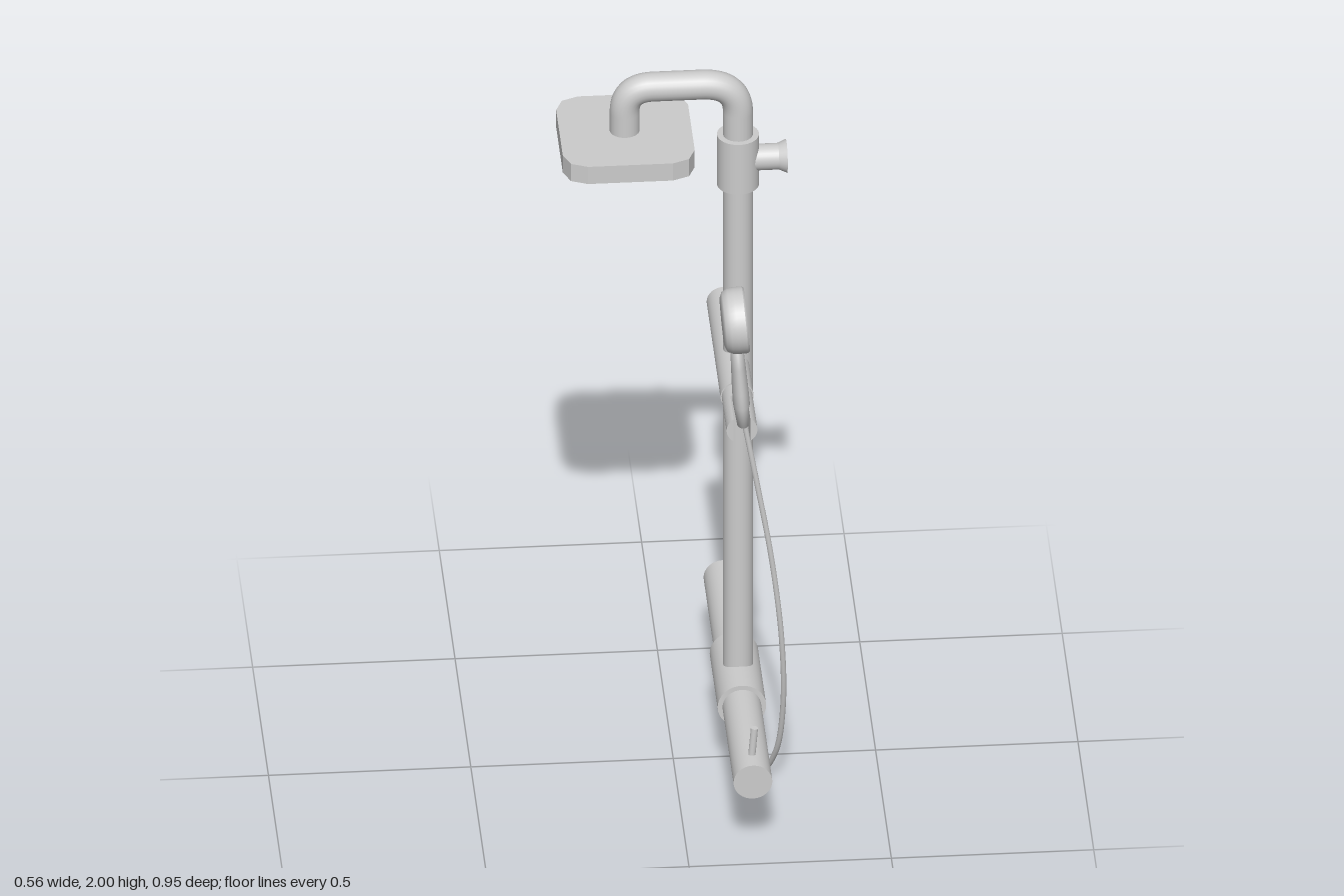
import * as THREE from 'three';

const V = (x, y, z) => new THREE.Vector3(x, y, z);
const grey = new THREE.MeshStandardMaterial({ color: 0xcccccc, side: THREE.DoubleSide });

export function createModel() {
  const model = new THREE.Group();
  const add = (name, geometry, parent = model) => {
    const mesh = new THREE.Mesh(geometry, grey);
    mesh.name = name;
    parent.add(mesh);
    return mesh;
  };
  // Capped cylinder between two points
  const rod = (name, a, b, r0, r1 = r0) => {
    const mesh = add(name, new THREE.CylinderGeometry(r1, r0, a.distanceTo(b), 32));
    mesh.position.copy(a).add(b).multiplyScalar(0.5);
    mesh.quaternion.setFromUnitVectors(V(0, 1, 0), b.clone().sub(a).normalize());
    return mesh;
  };

  const px = 0.16; // riser axis
  rod('riser', V(px, 0.23, 0), V(px, 1.8, 0), 0.037);
  rod('collar', V(px, 1.67, 0), V(px, 1.815, 0), 0.052);
  rod('diverterStem', V(px, 1.745, 0), V(0.262, 1.745, 0), 0.033);
  rod('diverterKnob', V(0.255, 1.745, 0), V(0.28, 1.745, 0), 0.031, 0.042);

  // Overhead arm with two bends
  const arm = new THREE.CurvePath();
  const hx = -0.12, top = 1.963;
  arm.add(new THREE.LineCurve3(V(px, 1.78, 0), V(px, 1.88, 0)));
  arm.add(new THREE.QuadraticBezierCurve3(V(px, 1.88, 0), V(px, top, 0), V(0.07, top, 0)));
  arm.add(new THREE.LineCurve3(V(0.07, top, 0), V(-0.05, top, 0)));
  arm.add(new THREE.QuadraticBezierCurve3(V(-0.05, top, 0), V(hx, top, 0), V(hx, 1.895, 0)));
  arm.add(new THREE.LineCurve3(V(hx, 1.895, 0), V(hx, 1.82, 0)));
  add('overheadArm', new THREE.TubeGeometry(arm, 60, 0.037, 24));

  // Square rain head with chamfered corners
  const corner = [[0.163, 0.105], [0.146, 0.146], [0.105, 0.163]];
  const outline = [];
  for (let i = 0; i < 4; i++) {
    const c = Math.round(Math.cos(i * Math.PI / 2)), s = Math.round(Math.sin(i * Math.PI / 2));
    for (const [x, y] of corner) outline.push(new THREE.Vector2(x * c - y * s, x * s + y * c));
  }
  const headGeo = new THREE.ExtrudeGeometry(new THREE.Shape(outline), { depth: 0.05, bevelEnabled: false });
  headGeo.rotateX(-Math.PI / 2);
  add('rainHead', headGeo).position.set(-0.118, 1.79, 0);

  // Lower mixer bar
  const my = 0.225;
  rod('mixerBar', V(px, my, -0.475), V(px, my, 0.475), 0.048);
  rod('mixerBody', V(px, my, -0.125), V(px, my, 0.125), 0.06);
  rod('mixerLever', V(0.158, my, 0.42), V(0.168, 0.348, 0.42), 0.009);

  // Upper cross bar and its lever
  const bx = 0.145, by = 1.155;
  rod('crossBar', V(bx, by, -0.275), V(bx, by, 0.165), 0.041);
  rod('crossBarLever', V(bx, by, -0.222), V(bx, 1.05, -0.222), 0.008);

  // Forked holder: a short solid length, then two prongs
  rod('holderBase', V(bx, by, 0.16), V(bx, by, 0.215), 0.038);
  for (const side of [0, Math.PI]) {
    const prong = new THREE.Shape();
    prong.absarc(0, 0, 0.038, side - 1, side + 1, false);
    prong.closePath();
    add('holderProng', new THREE.ExtrudeGeometry(prong, { depth: 0.11, bevelEnabled: false, curveSegments: 16 }))
      .position.set(bx, by, 0.212);
  }

  // Hand shower, leaning slightly toward the rain head
  const hand = new THREE.Group();
  hand.name = 'handShower';
  hand.position.set(0.153, 1.13, 0.25);
  hand.rotation.z = 0.07;
  model.add(hand);
  const lathe = (points) => new THREE.LatheGeometry(points.map(([r, y]) => new THREE.Vector2(r, y)), 40);
  const handle = lathe([[0, 0], [0.026, 0], [0.036, 0.06], [0.035, 0.1], [0.031, 0.17], [0.027, 0.23], [0, 0.23]]);
  add('handle', handle, hand).scale.x = 0.58;
  const disc = add('handShowerHead', lathe([
    [0, -0.034], [0.06, -0.034], [0.074, -0.028], [0.081, -0.015], [0.083, 0],
    [0.083, 0.022], [0.083, 0.022], [0.079, 0.027], [0.074, 0.027], [0.074, 0.027], [0.073, 0.022], [0.073, 0.022], [0, 0.022],
  ]), hand);
  disc.rotation.z = -Math.PI / 2;
  disc.position.set(0.003, 0.3, 0);

  // Hose hanging from the handle and looping back up into the mixer
  const hose = new THREE.CatmullRomCurve3([
    V(0.153, 1.15, 0.25), V(0.188, 0.95, 0.25), V(0.225, 0.72, 0.248), V(0.25, 0.48, 0.235),
    V(0.256, 0.27, 0.198), V(0.242, 0.1, 0.142), V(0.21, 0.009, 0.07), V(0.178, 0.07, 0.02), V(px, 0.19, 0),
  ]);
  add('hose', new THREE.TubeGeometry(hose, 100, 0.007, 10));

  return model;
}
